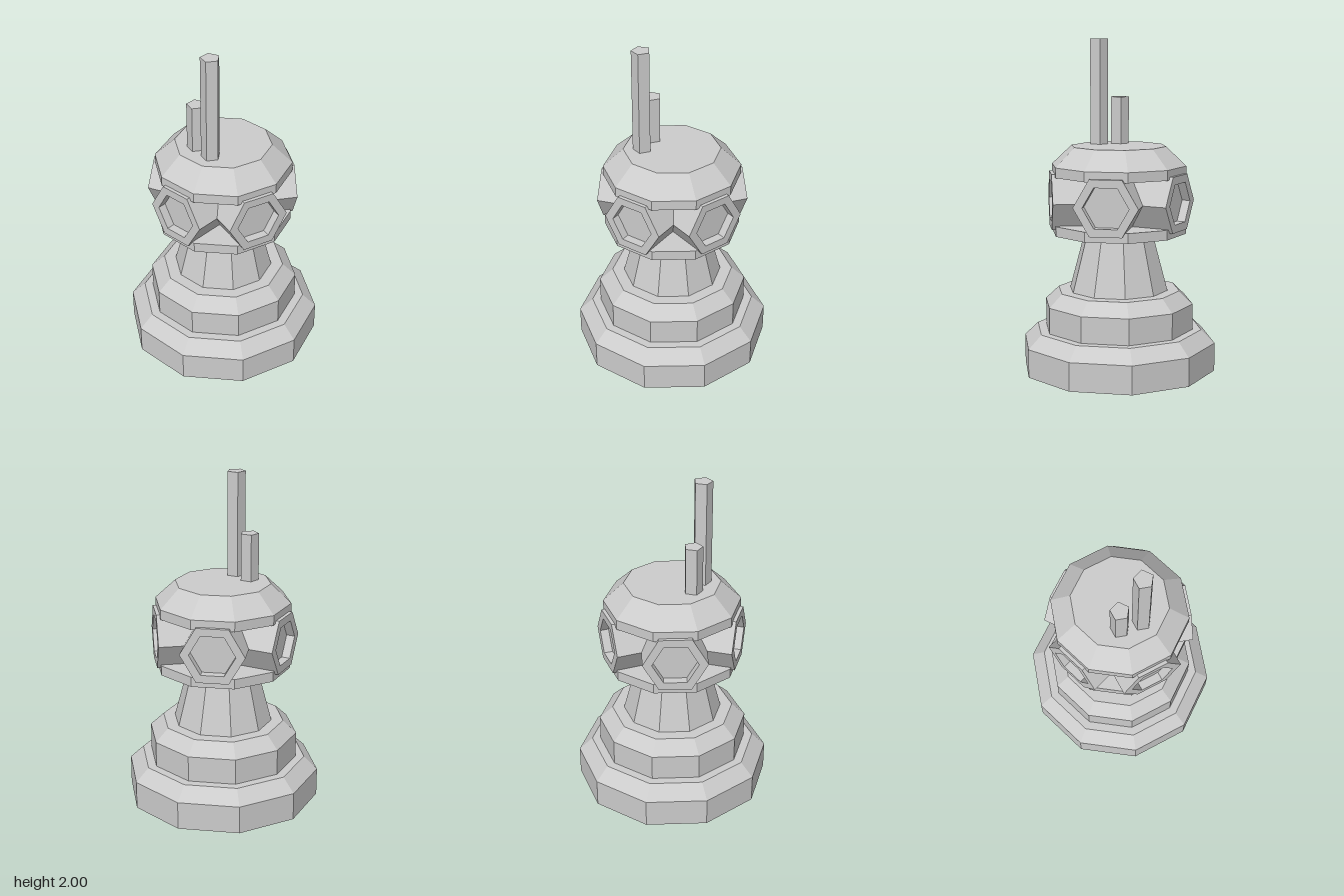
import * as THREE from 'three';

const material = new THREE.MeshStandardMaterial({ color: 0xcccccc, flatShading: true });

function add(parent, name, geometry) {
  const mesh = new THREE.Mesh(geometry, material);
  mesh.name = name;
  parent.add(mesh);
  return mesh;
}

// Ten-sided turned solid from [radius, y] pairs, listed bottom to top
function turned(profile) {
  const points = profile.map(([r, y]) => new THREE.Vector2(r, y));
  return new THREE.LatheGeometry(points, 10);
}

// Hexagon outline with corners on the horizontal axis
function hexPoints(radius) {
  return Array.from({ length: 6 }, (_, i) =>
    new THREE.Vector2(radius * Math.cos(i * Math.PI / 3), radius * Math.sin(i * Math.PI / 3)));
}

function extrude(shape, from, to) {
  return new THREE.ExtrudeGeometry(shape, { depth: to - from, bevelEnabled: false }).translate(0, 0, from);
}

// Hexagonal prism reaching out from the centre, with a recessed face
function port() {
  const group = new THREE.Group();
  group.name = 'hexPort';
  const rim = new THREE.Shape(hexPoints(0.192));
  rim.holes.push(new THREE.Path(hexPoints(0.137)));
  add(group, 'portBody', extrude(new THREE.Shape(hexPoints(0.192)), 0, 0.36));
  add(group, 'portRim', extrude(rim, 0.36, 0.412));
  return group;
}

export function createModel() {
  const model = new THREE.Group();
  model.name = 'tower';

  // Stepped base
  add(model, 'lowerBase', turned([[0, 0], [0.593, 0], [0.593, 0.172], [0.51, 0.252], [0, 0.252]]));
  add(model, 'upperBase', turned([[0, 0.252], [0.457, 0.252], [0.457, 0.41], [0.375, 0.488], [0, 0.488]]));

  // Tapered neck and the core behind the ports
  add(model, 'neck', turned([[0, 0.488], [0.302, 0.488], [0.208, 0.84], [0, 0.84]]));
  add(model, 'core', turned([[0, 0.85], [0.205, 0.85], [0.205, 1.24], [0, 1.24]]));

  // Head plates above and below the ports
  add(model, 'lowerPlate', turned([[0, 0.84], [0.411, 0.84], [0.411, 0.9], [0, 0.9]]));
  add(model, 'cap', turned([[0, 1.19], [0.411, 1.19], [0.411, 1.25], [0.289, 1.365], [0, 1.365]]));

  // Five ports around the head, one facing the right side
  for (let i = 0; i < 5; i++) {
    const p = port();
    p.position.y = 1.042;
    p.rotation.y = -Math.PI / 2 + i * Math.PI * 2 / 5;
    model.add(p);
  }

  // Five-sided posts on the cap
  for (const [name, x, z, top] of [['tallPost', 0, 0.174, 2], ['shortPost', -0.118, 0.115, 1.65]]) {
    const bottom = 1.34;
    add(model, name, new THREE.CylinderGeometry(0.057, 0.057, top - bottom, 5))
      .position.set(x, (top + bottom) / 2, z);
  }

  return model;
}
